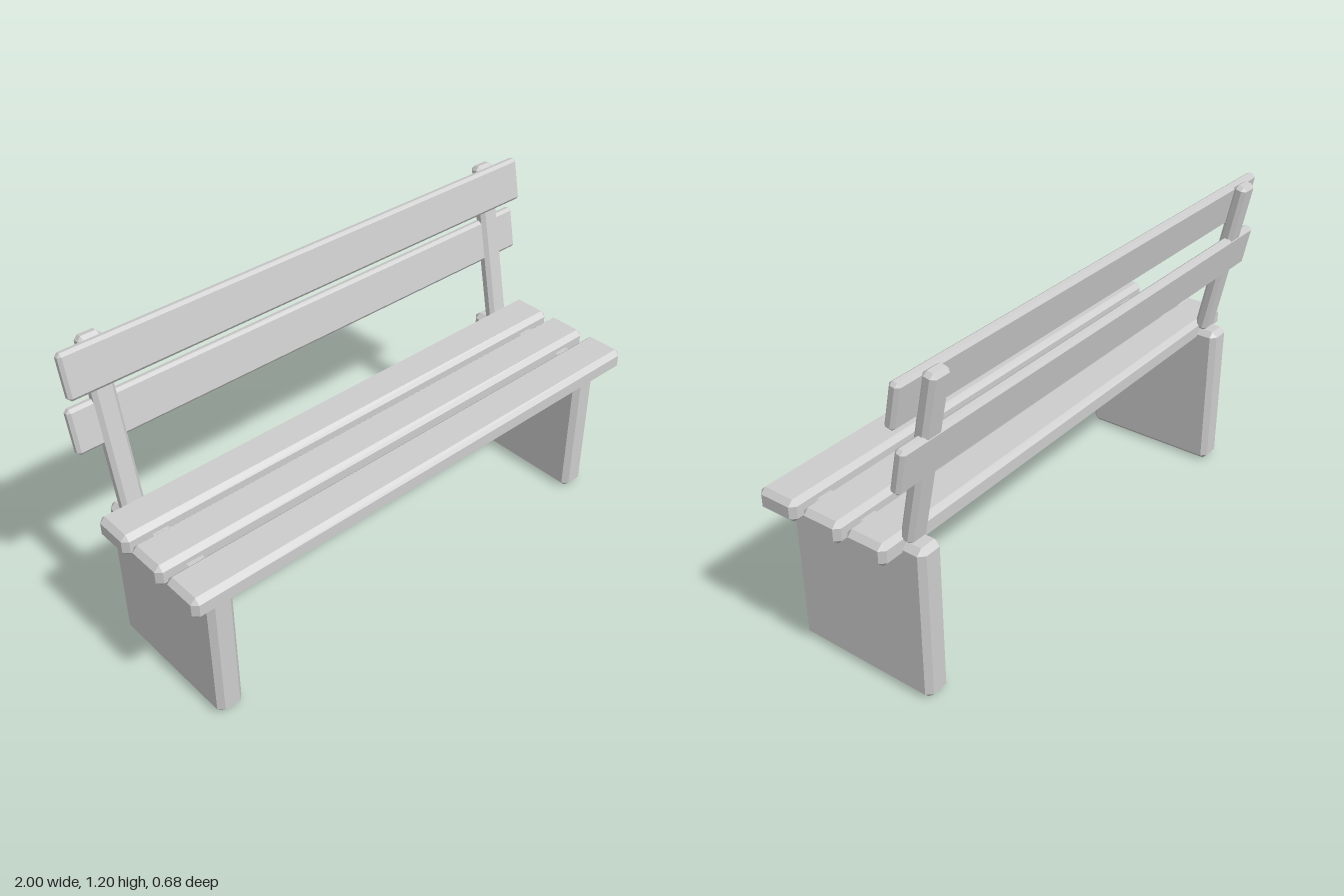
import * as THREE from 'three';
import { ConvexGeometry } from 'three/addons/geometries/ConvexGeometry.js';

// Box with flat chamfers on every edge
function chamferBox(w, h, d, c) {
  const points = [];
  for (const x of [-1, 1]) for (const y of [-1, 1]) for (const z of [-1, 1]) {
    const [a, b, e] = [w / 2, h / 2, d / 2];
    points.push(
      new THREE.Vector3(x * a, y * (b - c), z * (e - c)),
      new THREE.Vector3(x * (a - c), y * b, z * (e - c)),
      new THREE.Vector3(x * (a - c), y * (b - c), z * e),
    );
  }
  return new ConvexGeometry(points);
}

export function createModel() {
  const bench = new THREE.Group();
  bench.name = 'bench';
  const grey = new THREE.MeshStandardMaterial({ color: 0xcccccc });
  grey.name = 'light grey';
  const lean = -0.2;

  function add(name, geometry, x, y, z, tilt = 0) {
    const mesh = new THREE.Mesh(geometry, grey);
    mesh.name = name;
    mesh.position.set(x, y, z);
    mesh.rotation.x = tilt;
    bench.add(mesh);
  }

  // Slab legs and leaning back posts, mirrored left and right
  const leg = chamferBox(0.1, 0.585, 0.556, 0.02);
  const post = chamferBox(0.083, 0.63, 0.05, 0.014);
  for (const [side, s] of [['left', 1], ['right', -1]]) {
    add(side + 'Leg', leg, s * 0.866, 0.2925, 0.011);
    add(side + 'BackPost', post, s * 0.866, 0.892, -0.252, lean);
  }

  // Three seat planks
  const plank = chamferBox(2, 0.083, 0.157, 0.019);
  [['front', 0.261], ['middle', 0.073], ['rear', -0.111]].forEach(([place, z]) =>
    add(place + 'SeatPlank', plank, 0, 0.579, z));

  // Backrest planks: the upper one on the front of the posts, the lower one let into their rear
  const backPlank = chamferBox(2, 0.161, 0.038, 0.011);
  add('upperBackPlank', backPlank, 0, 1.121, -0.259, lean);
  add('lowerBackPlank', backPlank, 0, 0.911, -0.264, lean);

  return bench;
}
